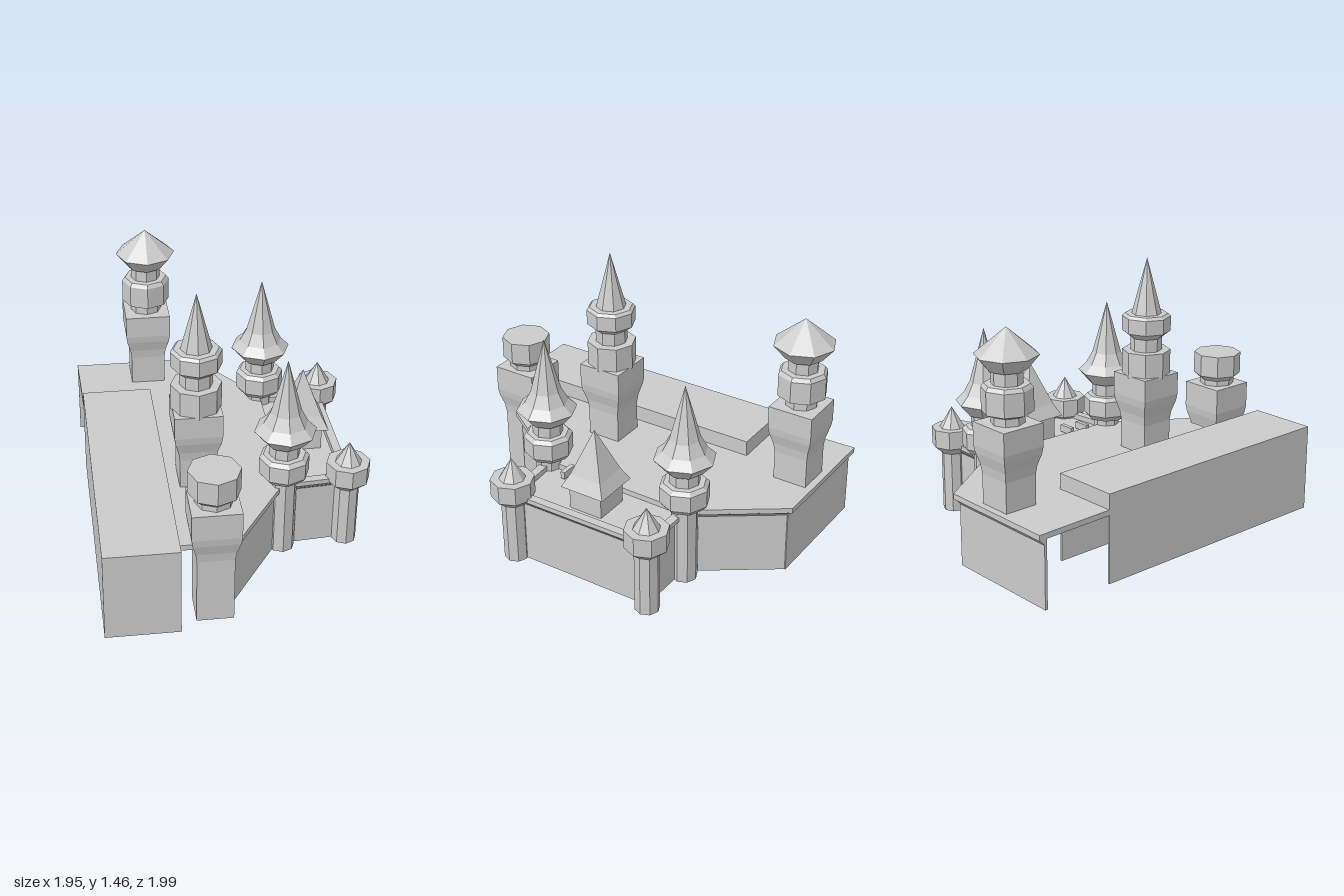
import * as THREE from 'three';

const YAW = -0.476;
const mat = new THREE.MeshStandardMaterial({ color: 0xcccccc, flatShading: true, side: THREE.DoubleSide });

export function createModel() {
  const root = new THREE.Group();
  root.name = 'castle';

  const add = (name, geo, parent = root) => {
    const m = new THREE.Mesh(geo, mat);
    m.name = name;
    parent.add(m);
    return m;
  };
  const box = (name, w, h, d, x, y, z, parent = root) => {
    const m = add(name, new THREE.BoxGeometry(w, h, d), parent);
    m.position.set(x, y, z);
    return m;
  };
  // Faceted turned shape; profile entries are [radius, height]
  const turned = (name, profile, sides, parent) => {
    const m = add(name, new THREE.LatheGeometry(profile.map(p => new THREE.Vector2(...p)), sides), parent);
    m.rotation.y = YAW + (sides === 4 ? Math.PI / 4 : 0);
    return m;
  };
  const tower = (name, x, z) => {
    const g = new THREE.Group();
    g.name = name;
    g.position.set(x, 0, z);
    root.add(g);
    return g;
  };
  const slab = (name, pts, top, depth) => {
    const s = new THREE.Shape(pts.map(p => new THREE.Vector2(...p)));
    const m = add(name, new THREE.ExtrudeGeometry(s, { depth, bevelEnabled: false }).rotateX(Math.PI / 2));
    m.position.y = top;
  };
  // Wall with a flared cornice, running from a to b; offset moves it outwards
  const wall = (name, a, b, offset = 0) => {
    const dx = b[0] - a[0], dz = b[1] - a[1];
    const prof = [[-0.045, 0], [-0.03, 0], [-0.03, 0.34], [0, 0.375], [0, 0.4], [-0.045, 0.4]];
    const s = new THREE.Shape(prof.map(p => new THREE.Vector2(p[0] + offset, p[1])));
    const m = add(name, new THREE.ExtrudeGeometry(s, { depth: Math.hypot(dx, dz), bevelEnabled: false }));
    m.position.set(a[0], 0, a[1]);
    m.rotation.y = Math.atan2(dx, dz);
  };

  // Long wing: hollow, open underneath and below the terrace at its back end
  const wing = new THREE.Group();
  wing.name = 'longWing';
  wing.position.set(-0.4725, 0, 0.15);
  wing.rotation.y = YAW;
  root.add(wing);
  box('wingRoof', 0.375, 0.01, 1.485, 0, 0.48, 0, wing);
  for (const s of [-1, 1]) box('wingSideWall', 0.01, 0.48, 1.485, s * 0.1825, 0.24, 0, wing);
  box('wingFrontWall', 0.375, 0.48, 0.01, 0, 0.24, 0.7375, wing);
  box('wingBackGable', 0.375, 0.11, 0.01, 0, 0.425, -0.7375, wing);

  // Main terrace and its curtain walls
  slab('terrace', [[-0.1, -1], [0.51, -0.68], [0.58, -0.13], [0.18, 0.62], [-0.3, 0.885],
    [-0.42, 0.83], [-0.57, 0.755], [0.03, -0.43], [-0.3, -0.59]], 0.4, 0.03);
  wall('backWall', [-0.1, -1], [0.5, -0.685]);
  wall('eastWall', [0.513, -0.66], [0.58, -0.13]);
  wall('frontWall', [0.18, 0.62], [-0.3, 0.885]);

  // Forecourt
  const court = [[0.58, -0.13], [0.86, 0.02], [0.49, 0.75], [0.18, 0.62]];
  slab('forecourtFloor', court, 0.37, 0.02);
  for (let i = 0; i < 3; i++) wall('forecourtWall', court[i], court[i + 1], 0.02);
  for (const [x, z] of [[0.28, 0.5], [0.34, 0.42]])
    box('step', 0.09, 0.04, 0.025, x, 0.4, z).rotation.y = YAW;

  // Gatehouse with flared pyramid roof
  const gate = tower('gatehouse', 0.52, 0.315);
  turned('gatehouseBody', [[0.135, 0.36], [0.135, 0.5]], 4, gate);
  turned('gatehouseRoof', [[0, 0.5], [0.178, 0.5], [0.128, 0.57], [0, 0.81]], 4, gate);

  // Square tower shaft that widens towards its top
  const squareShaft = (parent, y0, flare, top) => turned('squareShaft', [[0, y0], [0.132, y0], [0.132, flare],
    [0.141, flare + 0.05], [0.165, flare + 0.11], [0.173, flare + 0.15], [0.173, top], [0, top]], 4, parent);

  const stump = tower('flatTopTower', -0.415, 0.83);
  squareShaft(stump, 0, 0.36, 0.65);
  turned('flatHead', [[0.095, 0.64], [0.095, 0.68], [0.13, 0.71], [0.13, 0.83], [0, 0.83]], 8, stump);

  const keep = tower('keepTower', -0.165, 0.315);
  squareShaft(keep, 0.37, 0.56, 0.83);
  turned('keepHeads', [[0.13, 0.82], [0.13, 0.96], [0.085, 0.96], [0.085, 1.03], [0.13, 1.065],
    [0.13, 1.145], [0.115, 1.16], [0, 1.16]], 8, keep);
  turned('keepSpire', [[0.08, 1.16], [0, 1.46]], 8, keep);

  const back = tower('backTower', 0.19, -0.7);
  squareShaft(back, 0.37, 0.56, 0.83);
  turned('backTowerHead', [[0.085, 0.82], [0.085, 0.87], [0.13, 0.89], [0.13, 1.01], [0.115, 1.03],
    [0.08, 1.03], [0.08, 1.1]], 8, back);
  turned('backTowerRoof', [[0, 1.1], [0.1, 1.1], [0.162, 1.175], [0, 1.31]], 8, back);

  // Pair of slender spired towers
  for (const [x, z] of [[0.175, 0.615], [0.58, -0.14]]) {
    const t = tower('spireTower', x, z);
    turned('spireTowerShaft', [[0, 0], [0.07, 0], [0.07, 0.43], [0.105, 0.44], [0.13, 0.47], [0.13, 0.56],
      [0.11, 0.58], [0.08, 0.58], [0.08, 0.65]], 8, t);
    turned('spireTowerRoof', [[0, 0.65], [0.1, 0.65], [0.16, 0.72], [0.115, 0.765], [0.08, 0.83], [0, 1.12]], 8, t);
  }

  // Pair of corner turrets
  for (const [x, z] of [[0.865, 0.02], [0.49, 0.75]]) {
    const t = tower('cornerTurret', x, z);
    turned('turretBody', [[0, 0], [0.065, 0], [0.065, 0.34], [0.115, 0.385], [0.115, 0.485], [0, 0.485]], 8, t);
    turned('turretRoof', [[0.07, 0.485], [0, 0.6]], 8, t);
  }

  return root;
}
